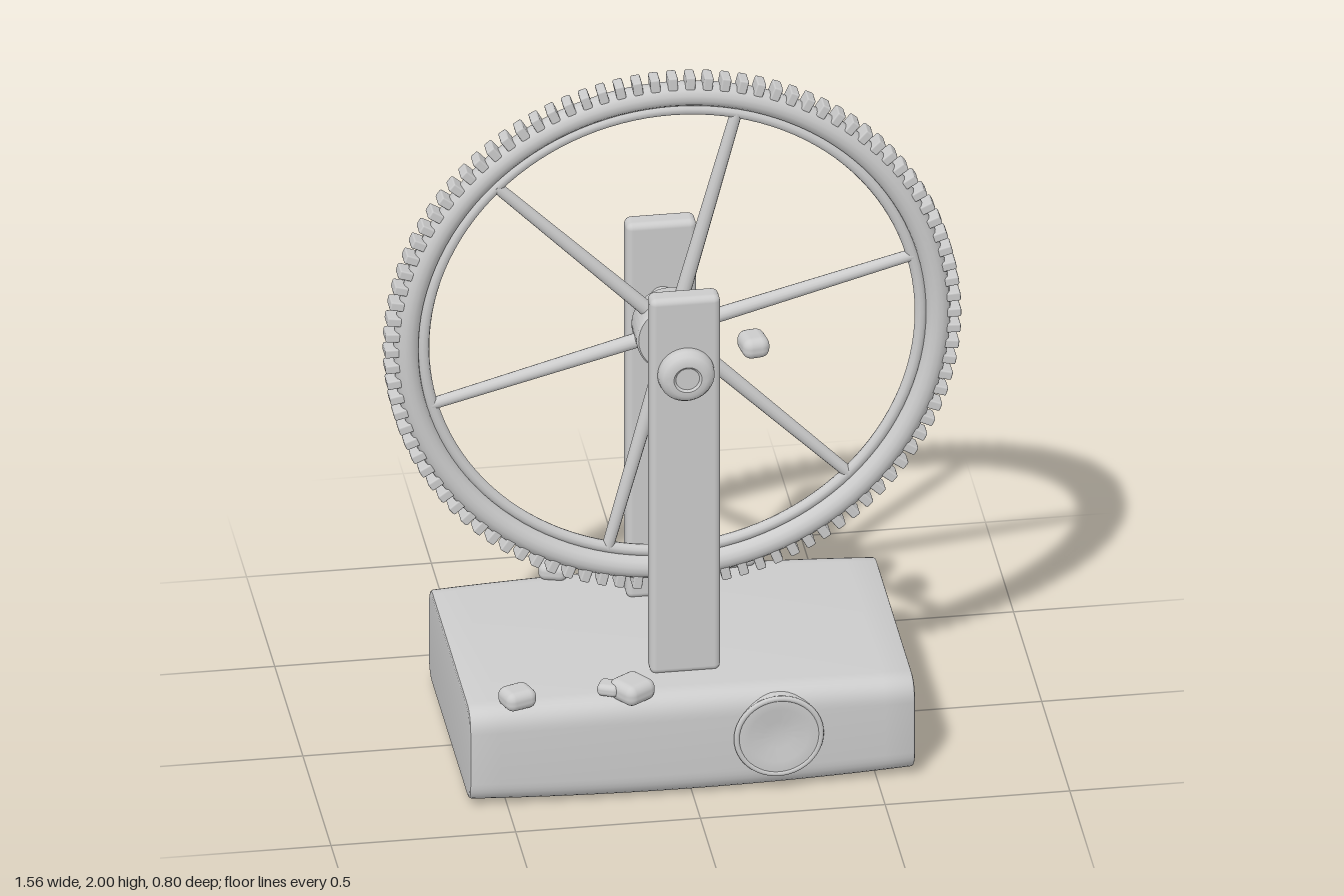
import * as THREE from 'three';
import { toCreasedNormals } from 'three/addons/utils/BufferGeometryUtils.js';
import { RoundedBoxGeometry } from 'three/addons/geometries/RoundedBoxGeometry.js';

const grey = new THREE.MeshStandardMaterial({ color: 0xcccccc });
const twoSided = new THREE.MeshStandardMaterial({ color: 0xcccccc, side: THREE.DoubleSide });
const HUB_Y = 1.22, MID_Z = -0.005;

function add(parent, name, geometry, x = 0, y = 0, z = 0, material = grey) {
  const mesh = new THREE.Mesh(geometry, material);
  mesh.name = name;
  mesh.position.set(x, y, z);
  parent.add(mesh);
  return mesh;
}

// Lathe whose axis points along +z; points are [radius, z]
function latheZ(points, segments = 40) {
  const g = new THREE.LatheGeometry(points.map(([r, z]) => new THREE.Vector2(r, z)), segments);
  return toCreasedNormals(g.rotateX(Math.PI / 2), 0.7);
}

// Rounded block, swelling slightly towards the middle of its length
function baseGeometry() {
  const w = 0.36, h = 0.13, r = 0.055;
  const s = new THREE.Shape();
  s.moveTo(-w + r, -h);
  s.lineTo(w - r, -h);
  s.quadraticCurveTo(w, -h, w, -h + r);
  s.lineTo(w, h - r);
  s.quadraticCurveTo(w, h, w - r, h);
  s.lineTo(-w + r, h);
  s.quadraticCurveTo(-w, h, -w, h - r);
  s.lineTo(-w, -h + r);
  s.quadraticCurveTo(-w, -h, -w + r, -h);
  const g = new THREE.ExtrudeGeometry(s, {
    depth: 1.19, steps: 16, curveSegments: 8,
    bevelEnabled: true, bevelSize: 0.01, bevelThickness: 0.008, bevelSegments: 2,
  });
  g.translate(0, 0, -0.595).rotateY(Math.PI / 2);
  const p = g.attributes.position;
  for (let i = 0; i < p.count; i++) {
    const f = Math.max(0, 1 - (p.getX(i) / 0.603) ** 2);
    p.setY(i, p.getY(i) * (1 + 0.092 * f));
    p.setZ(i, p.getZ(i) * (1 + 0.035 * f));
  }
  return toCreasedNormals(g, 0.6);
}

function createWheel() {
  const wheel = new THREE.Group();
  wheel.name = 'wheel';
  wheel.position.set(0, HUB_Y, MID_Z);
  add(wheel, 'rim', new THREE.TorusGeometry(0.72, 0.034, 14, 120));
  add(wheel, 'innerRing', new THREE.TorusGeometry(0.673, 0.016, 10, 120));

  // Teeth round the rim
  const toothCount = 100;
  const tooth = new RoundedBoxGeometry(0.04, 0.026, 0.052, 1, 0.005);
  for (let i = 0; i < toothCount; i++) {
    const a = (i / toothCount) * Math.PI * 2;
    add(wheel, 'tooth', tooth, 0.76 * Math.cos(a), 0.76 * Math.sin(a), 0).rotation.z = a;
  }

  // Six tapered spokes
  const spoke = new THREE.CylinderGeometry(0.016, 0.021, 0.62, 14).translate(0, 0.365, 0);
  for (let i = 0; i < 6; i++) {
    add(wheel, 'spoke', spoke).rotation.z = (15 + 60 * i - 90) * Math.PI / 180;
  }

  // Drum-shaped hub
  add(wheel, 'hub', latheZ([[0, -0.052], [0.098, -0.052], [0.103, -0.046],
    [0.103, 0.046], [0.098, 0.052], [0, 0.052]]), 0, 0, 0, twoSided);
  return wheel;
}

export function createModel() {
  const model = new THREE.Group();
  model.name = 'wheelOnStand';
  add(model, 'base', baseGeometry(), 0, 0.153, MID_Z);
  model.add(createWheel());

  // Axle, uprights and end caps
  add(model, 'axle', new THREE.CylinderGeometry(0.032, 0.032, 0.56, 24).rotateX(Math.PI / 2),
    0, HUB_Y, MID_Z);
  const upright = new RoundedBoxGeometry(0.19, 1.145, 0.064, 3, 0.018);
  const cap = latheZ([[0, -0.01], [0.074, -0.01], [0.077, 0.004], [0.075, 0.02],
    [0.066, 0.034], [0.052, 0.041], [0.038, 0.041], [0.032, 0.035], [0, 0.035]]);
  for (const side of [1, -1]) {
    add(model, 'upright', upright, 0, 0.8725, MID_Z + side * 0.212);
    const c = add(model, 'axleCap', cap, 0, HUB_Y, MID_Z + side * 0.244, twoSided);
    if (side < 0) c.rotation.y = Math.PI;
  }

  // Dished round plate on the front of the base
  const plate = new THREE.Group();
  plate.name = 'roundPlate';
  plate.position.set(0.23, 0.17, 0.372);
  add(plate, 'dish', latheZ([[0, 0.004], [0.04, 0.008], [0.08, 0.014], [0.108, 0.017],
    [0.118, 0.015], [0.12, -0.015]], 48), 0, 0, 0, twoSided);
  add(plate, 'plateRim', new THREE.TorusGeometry(0.114, 0.008, 8, 48), 0, 0, 0.013);
  model.add(plate);

  // Pebbles: x, y, z, width, height, depth, turn
  const pebbles = [
    [-0.47, 0.318, 0.33, 0.09, 0.055, 0.08, 0.35],
    [-0.16, 0.32, 0.335, 0.1, 0.06, 0.1, 0.6],
    [-0.22, 0.322, 0.325, 0.06, 0.035, 0.055, -0.4],
    [-0.265, 0.323, -0.355, 0.08, 0.05, 0.09, -0.3],
    [0.225, 0.323, -0.355, 0.1, 0.05, 0.095, 0.1],
    [0.183, 1.295, 0.24, 0.075, 0.06, 0.09, 0.15],
  ];
  for (const [x, y, z, w, h, d, turn] of pebbles) {
    add(model, 'pebble', new RoundedBoxGeometry(w, h, d, 3, Math.min(w, h, d) * 0.42), x, y, z)
      .rotation.y = turn;
  }
  return model;
}
